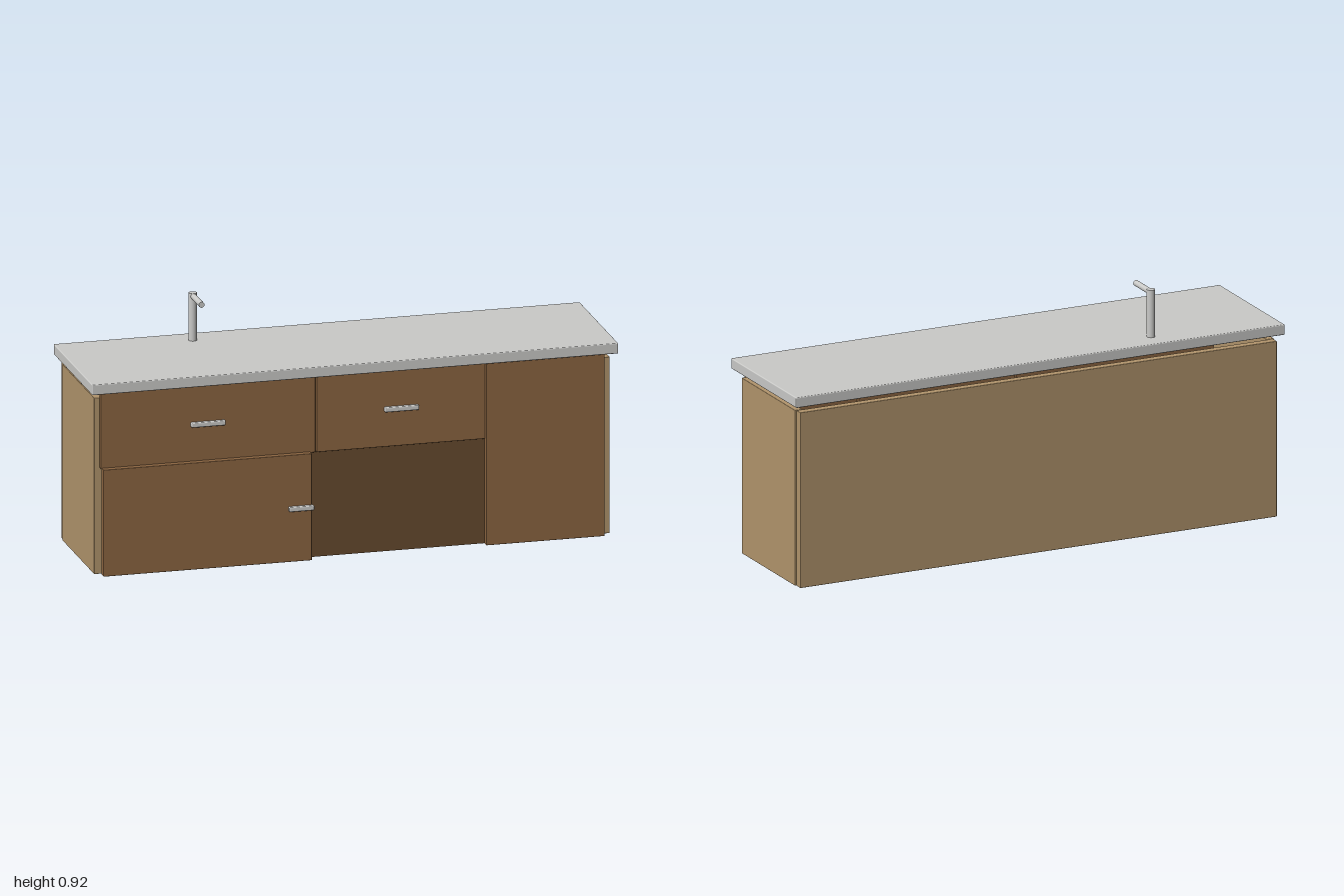
import * as THREE from 'three';
import { RoundedBoxGeometry } from 'three/addons/geometries/RoundedBoxGeometry.js';

const material = (name, color) => {
  const m = new THREE.MeshStandardMaterial({ color });
  m.name = name;
  return m;
};

export function createModel() {
  const model = new THREE.Group();
  model.name = 'kitchenCounter';

  const lightWood = material('lightWood', 0xb2956c);
  const brownWood = material('brownWood', 0x8b6541);
  const darkWood = material('darkWood', 0x674b2e);
  const steel = material('paleSteel', 0xcacac8);

  const add = (name, geometry, mat, x, y, z) => {
    const mesh = new THREE.Mesh(geometry, mat);
    mesh.name = name;
    mesh.position.set(x, y, z);
    model.add(mesh);
    return mesh;
  };

  // Box from its minimum and maximum on each axis, with optional rounded edges
  const block = (name, mat, [x0, x1], [y0, y1], [z0, z1], radius = 0) => {
    const size = [x1 - x0, y1 - y0, z1 - z0];
    const geometry = radius
      ? new RoundedBoxGeometry(...size, 2, radius)
      : new THREE.BoxGeometry(...size);
    return add(name, geometry, mat, (x0 + x1) / 2, (y0 + y1) / 2, (z0 + z1) / 2);
  };

  // Carcass
  block('leftSide', lightWood, [0.95, 0.98], [0, 0.675], [-0.227, 0.213], 0.002);
  block('rightSide', lightWood, [-0.98, -0.95], [0, 0.675], [-0.227, 0.213], 0.002);
  block('backPanel', lightWood, [-0.975, 0.975], [0, 0.675], [-0.262, -0.23], 0.002);
  block('bottomPanel', lightWood, [-0.95, 0.95], [0.002, 0.03], [-0.23, 0.213]);
  block('recessPanel', darkWood, [-0.95, 0.95], [0.002, 0.408], [0.213, 0.22]);

  // Worktop and the shallow plate beneath it
  block('worktop', steel, [-1, 1], [0.7, 0.74], [-0.278, 0.26], 0.004);
  block('sinkPlate', steel, [-0.72, -0.27], [0.696, 0.702], [-0.155, 0.137]);

  // Fronts
  block('wideDrawer', brownWood, [-0.96, -0.145], [0.407, 0.7], [0.213, 0.236], 0.002);
  block('narrowDrawer', brownWood, [-0.14, 0.5], [0.407, 0.7], [0.213, 0.236], 0.002);
  block('lowerDoor', brownWood, [-0.957, -0.165], [0.002, 0.411], [0.227, 0.26], 0.002);
  block('tallFront', brownWood, [0.5, 0.95], [0.002, 0.7], [0.227, 0.25], 0.002);

  // Handles: start, end, bottom height, and the front they sit on
  const handles = [
    ['wideDrawerHandle', -0.62, -0.49, 0.543, 0.235],
    ['narrowDrawerHandle', 0.115, 0.245, 0.543, 0.235],
    ['doorHandle', -0.255, -0.16, 0.198, 0.26],
  ];
  for (const [name, x0, x1, y, z] of handles) {
    block(name, steel, [x0, x1], [y, y + 0.018], [z, z + 0.019], 0.004);
  }

  // Tap
  add('tapColumn', new THREE.CylinderGeometry(0.0155, 0.0155, 0.184, 24), steel, -0.495, 0.83, -0.19);
  const spout = add('tapSpout', new THREE.CylinderGeometry(0.011, 0.011, 0.12, 20), steel, -0.495, 0.911, -0.126);
  spout.rotation.x = Math.PI / 2;

  return model;
}
